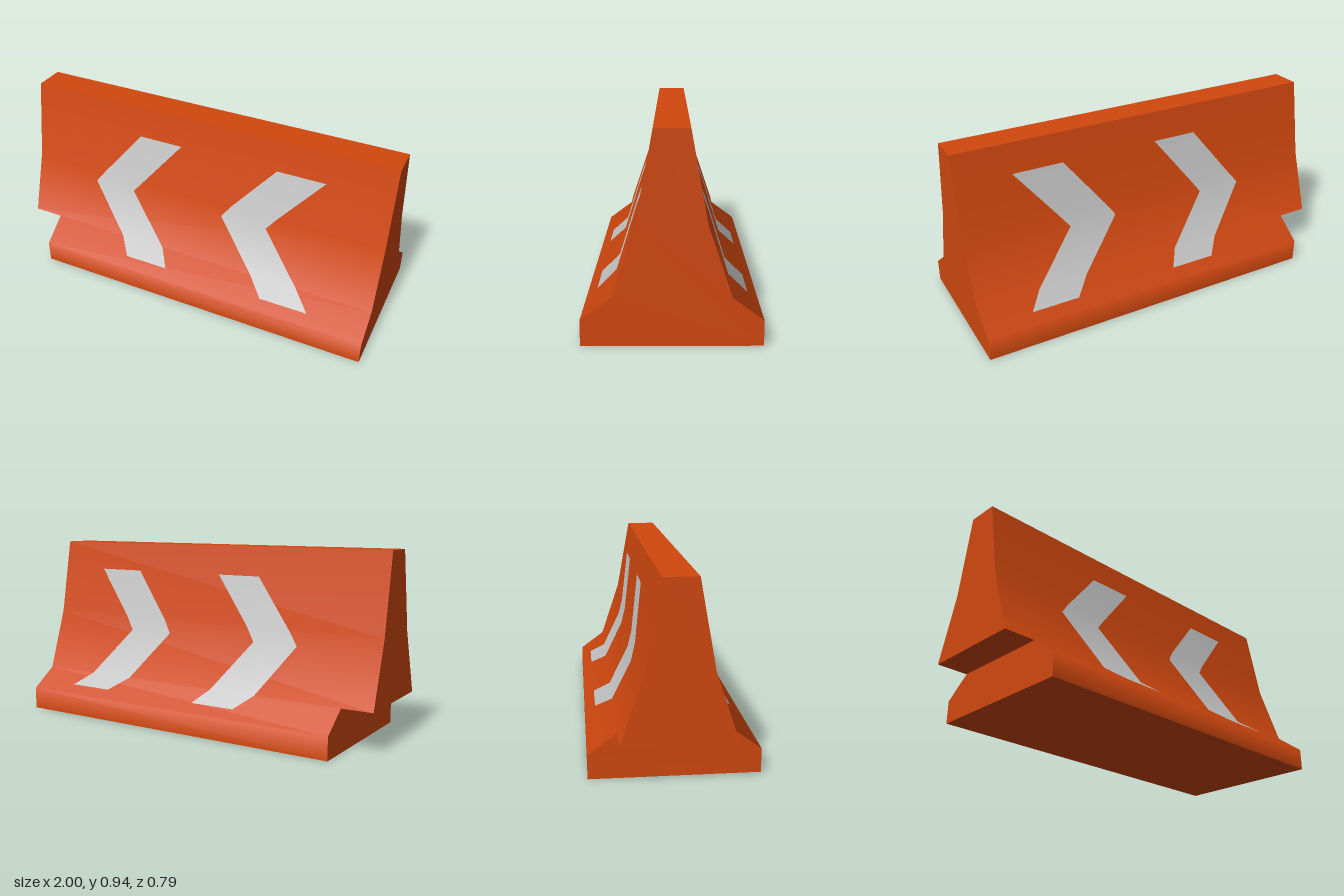
import * as THREE from 'three';

// Half profile of the barrier: [height, half depth]
const PROFILE = [[0, 0.397], [0.115, 0.397], [0.217, 0.26], [0.54, 0.152], [0.945, 0.079]];
const NOTCH_X = -0.84;

// Smooth profile normals [ny, nz], weighted by segment length
const NORMALS = PROFILE.map((p, i) => {
  const a = PROFILE[Math.max(i - 1, 0)], b = PROFILE[Math.min(i + 1, PROFILE.length - 1)];
  const ny = a[1] - b[1], nz = b[0] - a[0], len = Math.hypot(ny, nz);
  return [ny / len, nz / len];
});

// Half depth and normal of the side at a given height
function sideAt(y) {
  let i = 0;
  while (i < PROFILE.length - 2 && y > PROFILE[i + 1][0]) i++;
  const t = (y - PROFILE[i][0]) / (PROFILE[i + 1][0] - PROFILE[i][0]);
  const mix = (a, b) => a + (b - a) * t;
  return {
    z: mix(PROFILE[i][1], PROFILE[i + 1][1]),
    ny: mix(NORMALS[i][0], NORMALS[i + 1][0]),
    nz: mix(NORMALS[i][1], NORMALS[i + 1][1]),
  };
}

// Strip lying on the front (side 1) or back (side -1); rows are [y, left x, right x]
function sideStrip(rows, side, lift = 0) {
  const pos = [], nor = [], idx = [];
  rows.forEach(([y, l, r], i) => {
    const s = sideAt(y);
    for (const x of [l, r]) {
      pos.push(x, y + s.ny * lift, side * (s.z + s.nz * lift));
      nor.push(0, s.ny, side * s.nz);
    }
    if (i === 0) return;
    const a = 2 * i - 2, b = a + 1, c = a + 2, d = a + 3;
    if (side > 0) idx.push(a, b, d, a, d, c);
    else idx.push(a, d, b, a, c, d);
  });
  const g = new THREE.BufferGeometry();
  g.setAttribute('position', new THREE.Float32BufferAttribute(pos, 3));
  g.setAttribute('normal', new THREE.Float32BufferAttribute(nor, 3));
  g.setIndex(idx);
  return g;
}

// Flat cross-section at x, facing +x (dir 1) or -x (dir -1)
function crossSection(points, x, dir) {
  const outline = [
    ...points.map(([y, z]) => new THREE.Vector2(z, y)),
    ...points.slice().reverse().map(([y, z]) => new THREE.Vector2(-z, y)),
  ];
  return new THREE.ShapeGeometry(new THREE.Shape(outline))
    .rotateY(dir * Math.PI / 2).translate(x, 0, 0);
}

// Horizontal rectangle facing up (dir 1) or down (dir -1)
function level(x0, x1, y, halfDepth, dir) {
  return new THREE.PlaneGeometry(x1 - x0, 2 * halfDepth)
    .rotateX(-dir * Math.PI / 2).translate((x0 + x1) / 2, y, 0);
}

export function createModel() {
  const orange = new THREE.MeshStandardMaterial({ color: 0xd2480f });
  orange.name = 'barrier orange';
  const grey = new THREE.MeshStandardMaterial({ color: 0xc8c8c8 });
  grey.name = 'chevron grey';

  const model = new THREE.Group();
  model.name = 'roadBarrier';
  const body = new THREE.Group();
  body.name = 'barrierBody';
  model.add(body);
  const add = (parent, name, geometry, material) => {
    const mesh = new THREE.Mesh(geometry, material);
    mesh.name = name;
    parent.add(mesh);
  };

  const foot = PROFILE.slice(0, 3), wall = PROFILE.slice(2);
  const [notchY, notchZ] = PROFILE[2], [topY, topZ] = PROFILE[4];

  // Sloped sides: short foot below, full-length wall above
  for (const [label, side] of [['front', 1], ['back', -1]]) {
    add(body, label + 'Foot', sideStrip(foot.map(([y]) => [y, NOTCH_X, 1]), side), orange);
    add(body, label + 'Wall', sideStrip(wall.map(([y]) => [y, -1, 1]), side), orange);
  }

  // Ends, top, base and the notch under the overhang
  add(body, 'leftEnd', crossSection(PROFILE, 1, 1), orange);
  add(body, 'rightEnd', crossSection(wall, -1, -1), orange);
  add(body, 'notchWall', crossSection(foot, NOTCH_X, -1), orange);
  add(body, 'overhangUnderside', level(-1, NOTCH_X, notchY, notchZ, -1), orange);
  add(body, 'top', level(-1, 1, topY, topZ, 1), orange);
  add(body, 'base', level(NOTCH_X, 1, 0, PROFILE[0][1], -1), orange);

  // Painted chevrons, bent over the profile
  const chevrons = [
    ['frontChevron', 1, [[0.155, -0.35, -0.11], [0.217, -0.42, -0.17], [0.475, -0.62, -0.385], [0.54, -0.57, -0.33], [0.79, -0.36, -0.12]]],
    ['frontChevron', 1, [[0.155, 0.44, 0.695], [0.217, 0.35, 0.605], [0.475, 0.14, 0.39], [0.54, 0.19, 0.445], [0.79, 0.41, 0.665]]],
    ['backChevron', -1, [[0.155, -0.3, -0.055], [0.217, -0.375, -0.115], [0.47, -0.565, -0.32], [0.54, -0.51, -0.27], [0.795, -0.31, -0.07]]],
    ['backChevron', -1, [[0.155, 0.5, 0.75], [0.217, 0.415, 0.675], [0.47, 0.2, 0.455], [0.54, 0.25, 0.51], [0.795, 0.45, 0.715]]],
  ];
  for (const [name, side, rows] of chevrons) add(model, name, sideStrip(rows, side, 0.003), grey);

  return model;
}
